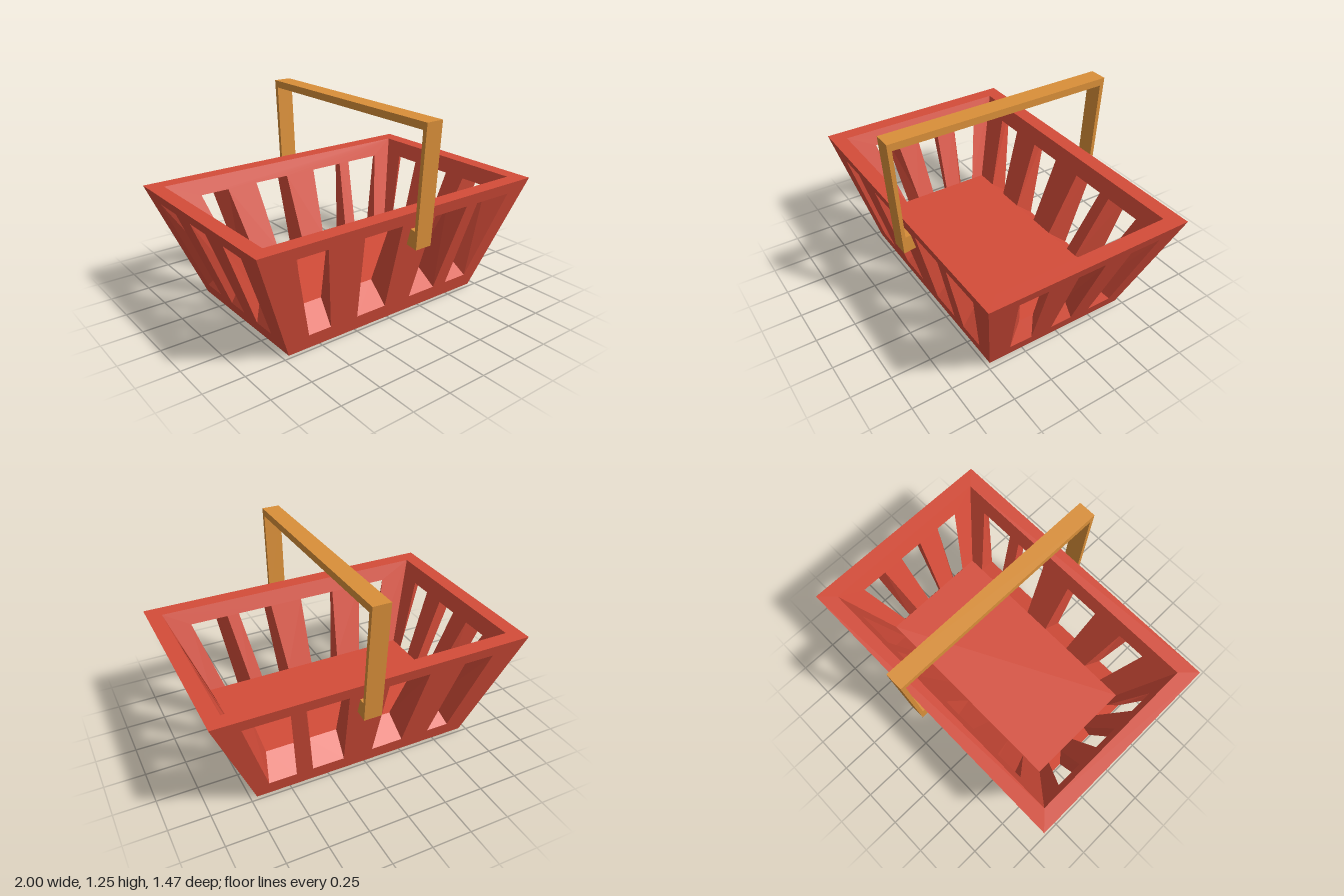
import * as THREE from 'three';

// Half sizes of the tapered shell: outer at y = 0 and TOP, inner at FLOOR and TOP
const TOP = 0.735, FLOOR = 0.217;
const OUT = { x: [0.71, 1], z: [0.475, 0.667] };
const INN = { x: [0.7, 0.905], z: [0.365, 0.57] };
// Slot heights: [bottom, top] on the outer and inner skins
const OUT_Y = [0.097, 0.66], INN_Y = [FLOOR, 0.64];

// Slots across a wall: outer BL, BR, TR, TL, then inner BL, BR, TR, TL
const LONG_SLOTS = [
  [-0.59, -0.44, -0.56, -0.76, -0.55, -0.41, -0.49, -0.68],
  [-0.25, -0.04, -0.05, -0.32, -0.235, -0.035, -0.04, -0.28],
  [0.155, 0.36, 0.46, 0.2, 0.14, 0.335, 0.41, 0.18],
  [0.465, 0.64, 0.825, 0.55, 0.42, 0.6, 0.735, 0.49],
];
const SHORT_SLOTS = [
  [-0.38, -0.215, -0.28, -0.49, -0.28, -0.17, -0.23, -0.405],
  [-0.08, 0.067, 0.086, -0.1, -0.06, 0.05, 0.075, -0.087],
  [0.21, 0.36, 0.467, 0.28, 0.17, 0.267, 0.385, 0.23],
];

const v2 = (a, b) => new THREE.Vector2(a, b);
const lerp = THREE.MathUtils.lerp;
const rect = (w, h) => [v2(-w, -h), v2(w, -h), v2(w, h), v2(-w, h)];

// Fills a 2D outline with holes and places it in space through map(a, b)
function fill(out, outline, holes, map, flip = false) {
  const pts = [...outline, ...holes.flat()];
  for (const t of THREE.ShapeUtils.triangulateShape(outline, holes)) {
    const ccw = THREE.ShapeUtils.area(t.map((i) => pts[i])) > 0;
    const order = ccw === flip ? [t[0], t[2], t[1]] : t;
    for (const i of order) out.push(...map(pts[i].x, pts[i].y));
  }
}

function quad(out, a, b, c, d, flip) {
  for (const p of flip ? [a, c, b, a, d, c] : [a, b, c, a, c, d]) out.push(...p);
}

function makeMesh(name, positions, material) {
  const g = new THREE.BufferGeometry();
  g.setAttribute('position', new THREE.Float32BufferAttribute(positions, 3));
  g.computeVertexNormals();
  const mesh = new THREE.Mesh(g, material);
  mesh.name = name;
  return mesh;
}

// One slotted wall; place(u, y, d) turns across/up/outward into x, y, z
function buildWall(out, slots, uAxis, dAxis, place, flip, odd = -1, oddOut = out) {
  const outer = (u, y) => place(u, y, lerp(...OUT[dAxis], y / TOP));
  const inner = (u, y) => place(u, y, lerp(...INN[dAxis], (y - FLOOR) / (TOP - FLOOR)));
  const corners = (s, k, ys) => [0, 1, 2, 3].map((i) => v2(s[k + i], ys[i < 2 ? 0 : 1]));
  const outHoles = slots.map((s) => corners(s, 0, OUT_Y));
  const inHoles = slots.map((s) => corners(s, 4, INN_Y));
  const [o0, o1] = OUT[uAxis], [i0, i1] = INN[uAxis];

  // outer skin with holes
  fill(out, [v2(-o0, 0), v2(o0, 0), v2(o1, TOP), v2(-o1, TOP)], outHoles, outer, flip);
  // inner skin, notched down to the floor
  const notches = inHoles.flatMap(([bl, br, tr, tl]) => [bl, tl, tr, br]);
  fill(out, [v2(-i0, FLOOR), ...notches, v2(i0, FLOOR), v2(i1, TOP), v2(-i1, TOP)], [], inner, !flip);
  // slot linings
  slots.forEach((_, n) => {
    for (let i = 0; i < 4; i++) {
      const j = (i + 1) % 4, O = outHoles[n], I = inHoles[n];
      quad(n === odd && i === 2 ? oddOut : out,
        outer(O[i].x, O[i].y), outer(O[j].x, O[j].y),
        inner(I[j].x, I[j].y), inner(I[i].x, I[i].y), flip);
    }
  });
}

export function createModel() {
  const red = new THREE.MeshStandardMaterial({ color: 0xd44c39 });
  red.name = 'basket red';
  const wood = new THREE.MeshStandardMaterial({ color: 0xd98f39 });
  wood.name = 'handle tan';
  const grey = new THREE.MeshStandardMaterial({ color: 0xc0c0c0 });
  grey.name = 'slot grey';

  const model = new THREE.Group();
  model.name = 'basket';

  // Four slotted walls
  const greyFace = [];
  const walls = [
    ['frontWall', LONG_SLOTS, 'x', 'z', (u, y, d) => [u, y, d], false],
    ['backWall', LONG_SLOTS, 'x', 'z', (u, y, d) => [u, y, -d], true, 2, greyFace],
    ['leftWall', SHORT_SLOTS, 'z', 'x', (u, y, d) => [d, y, u], true],
    ['rightWall', SHORT_SLOTS, 'z', 'x', (u, y, d) => [-d, y, u], false],
  ];
  for (const [name, ...args] of walls) {
    const p = [];
    buildWall(p, ...args);
    model.add(makeMesh(name, p, red));
  }
  model.add(makeMesh('backSlotLining', greyFace, grey));

  // Rim, floor and underside
  const rim = [], floor = [], underside = [];
  fill(rim, rect(OUT.x[1], OUT.z[1]), [rect(INN.x[1], INN.z[1])], (a, b) => [a, TOP, -b]);
  fill(floor, rect(INN.x[0], INN.z[0]), [], (a, b) => [a, FLOOR, -b]);
  fill(underside, rect(OUT.x[0], OUT.z[0]), [], (a, b) => [a, 0, b]);
  model.add(makeMesh('rim', rim, red), makeMesh('floor', floor, red), makeMesh('underside', underside, red));

  // Carrying handle: half profile mirrored, with feet set into the walls
  const half = [[0.705, 1.21], [0.672, 0.62], [0.59, 0.632], [0.59, 0.524], [0.688, 0.51], [0.735, 1.255]];
  const profile = [...half, ...half.map(([z, y]) => [-z, y]).reverse()];
  const handleGeo = new THREE.ExtrudeGeometry(
    new THREE.Shape(profile.map(([z, y]) => v2(z, y))),
    { depth: 0.113, bevelEnabled: false });
  handleGeo.rotateY(-Math.PI / 2);
  handleGeo.translate(0.13, 0, 0);
  const handle = new THREE.Mesh(handleGeo, wood);
  handle.name = 'handle';
  model.add(handle);

  return model;
}
